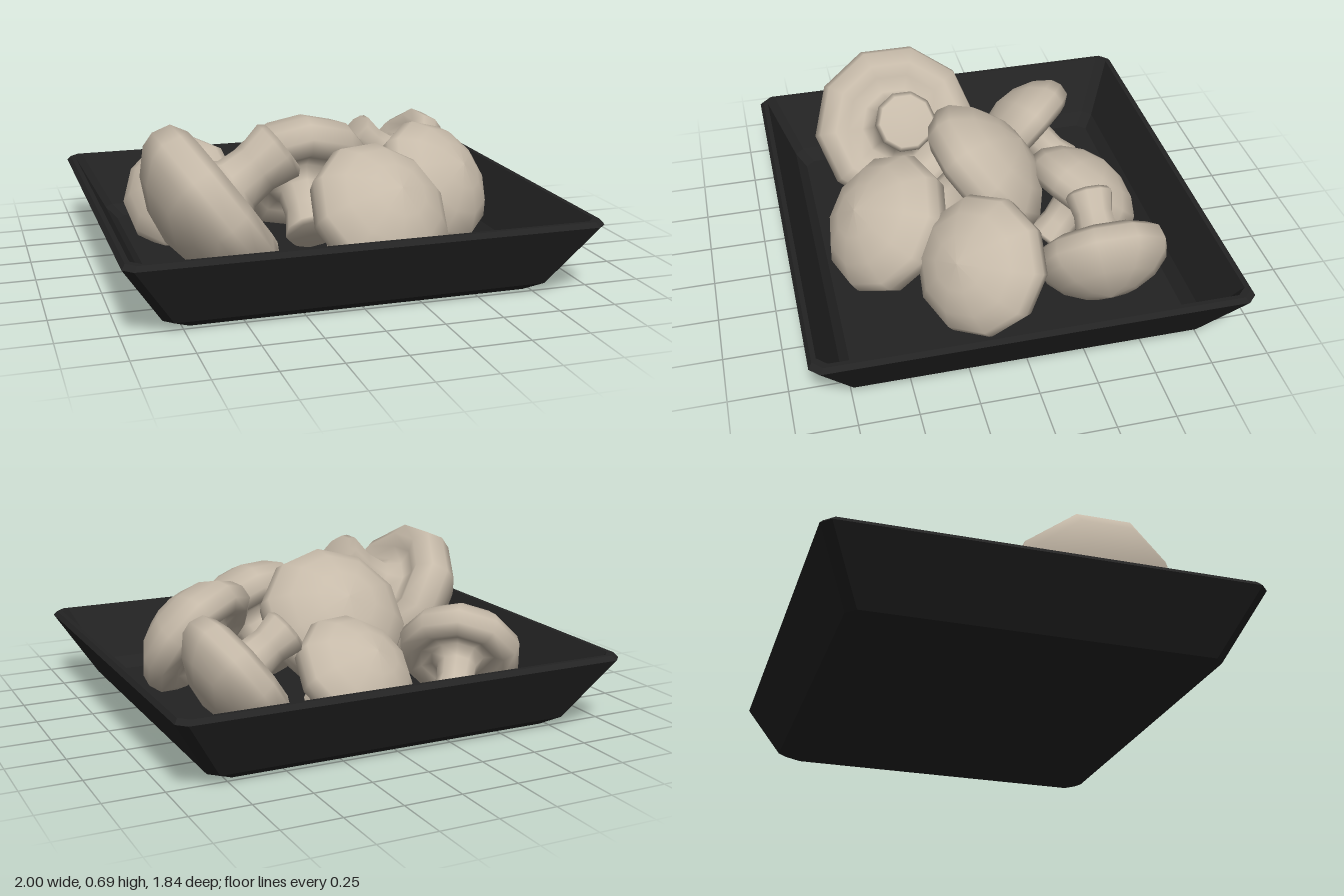
import * as THREE from 'three';

const mushroomMat = new THREE.MeshStandardMaterial({ color: 0xc6baa9 });
mushroomMat.name = 'mushroomBeige';
const trayMat = new THREE.MeshStandardMaterial({ color: 0x232323 });
trayMat.name = 'trayBlack';

// Rectangle with chamfered corners, counter-clockwise from above
function ring(hx, hz, y, c) {
  const a = hx - c, b = hz - c;
  return [[hx, b], [hx, -b], [a, -hz], [-a, -hz], [-hx, -b], [-hx, b], [-a, hz], [a, hz]]
    .map(([x, z]) => [x, y, z]);
}

// Tray: outer wall, rim, inner wall and floor joined from rings
function makeTray() {
  const rings = [
    [0, 0, 0, 0], [0.76, 0.72, 0, 0.04], [0.83, 0.78, 0.04, 0.04], [1, 0.92, 0.31, 0.04],
    [0.985, 0.905, 0.33, 0.04], [0.965, 0.885, 0.33, 0.04], [0.84, 0.78, 0.09, 0.04],
    [0.79, 0.735, 0.04, 0.04], [0, 0, 0.04, 0],
  ].map((r) => ring(...r));
  const pos = [];
  for (let i = 0; i < rings.length - 1; i++) {
    for (let j = 0; j < 8; j++) {
      const k = (j + 1) % 8;
      const [a, b, c, d] = [rings[i][j], rings[i][k], rings[i + 1][k], rings[i + 1][j]];
      if (i > 0) pos.push(...a, ...b, ...c);
      if (i === 0 || i < rings.length - 2) pos.push(...a, ...c, ...d);
      if (i === rings.length - 2) continue;
    }
  }
  const geo = new THREE.BufferGeometry();
  geo.setAttribute('position', new THREE.Float32BufferAttribute(pos, 3));
  geo.computeVertexNormals();
  const mesh = new THREE.Mesh(geo, trayMat);
  mesh.name = 'tray';
  return mesh;
}

// One mushroom profile, from stem end (bottom) to cap crown; y = 0 is the cap rim
const profile = [
  [0, -0.31], [0.12, -0.31], [0.14, -0.285], [0.115, -0.17], [0.125, -0.06], [0.17, 0],
  [0.24, -0.01], [0.3, -0.04], [0.37, 0], [0.39, 0.08], [0.37, 0.145], [0.28, 0.235],
  [0.15, 0.3], [0, 0.325],
].map(([r, y]) => new THREE.Vector2(r, y));

// name, rim centre, direction of the crown, scale
const mushrooms = [
  ['frontLeftMushroom', [-0.47, 0.41, 0.305], [-0.81, -0.59, 0], 1],
  ['middleMushroom', [-0.06, 0.345, 0.03], [0, 0.64, -0.77], 0.88],
  ['backMushroom', [0.06, 0.22, -0.42], [-0.25, 0.7, -0.65], 0.72],
  ['backLeftMushroom', [-0.515, 0.22, -0.37], [-0.51, 0.57, 0.64], 0.72],
  ['rightMushroom', [0.51, 0.3, 0.1], [0.5, 0.57, 0.65], 0.78],
  ['frontMushroom', [0.145, 0.285, 0.43], [0.23, 0.67, 0.71], 0.82],
  ['backRightMushroom', [0.515, 0.335, -0.39], [0.81, -0.59, 0], 0.75],
];

export function createModel() {
  const model = new THREE.Group();
  model.name = 'mushroomTray';
  model.add(makeTray());
  const geo = new THREE.LatheGeometry(profile, 10);
  const up = new THREE.Vector3(0, 1, 0);
  for (const [name, centre, axis, scale] of mushrooms) {
    const mesh = new THREE.Mesh(geo, mushroomMat);
    mesh.name = name;
    mesh.position.set(...centre);
    mesh.quaternion.setFromUnitVectors(up, new THREE.Vector3(...axis).normalize());
    mesh.scale.setScalar(scale);
    model.add(mesh);
  }
  return model;
}
